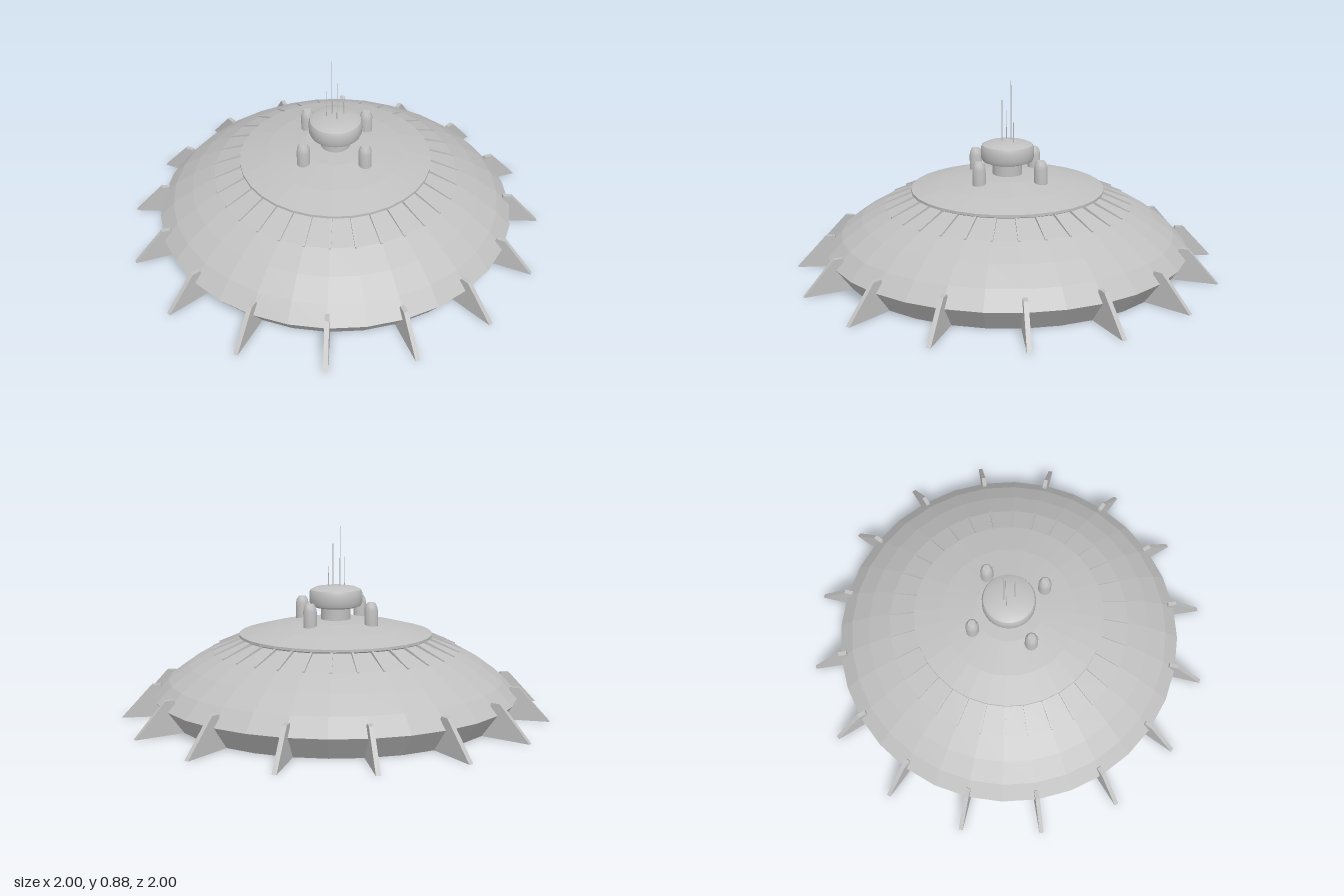
import * as THREE from 'three';
import { toCreasedNormals } from 'three/addons/utils/BufferGeometryUtils.js';

const SIDES = 32;

export function createModel() {
  const root = new THREE.Group();
  const grey = new THREE.MeshStandardMaterial({ color: 0xc0c0c0 });
  grey.name = 'hull grey';

  function add(name, geometry, parent = root) {
    const mesh = new THREE.Mesh(geometry, grey);
    mesh.name = name;
    parent.add(mesh);
    return mesh;
  }

  // Turned part from [radius, height] points, listed bottom to top
  function lathe(points, sides, crease) {
    const g = new THREE.LatheGeometry(points.map(([r, y]) => new THREE.Vector2(r, y)), sides);
    return toCreasedNormals(g, crease);
  }

  // Upright plate: outline in [radius, height], extruded around its middle plane
  function plate(points, thickness) {
    const shape = new THREE.Shape(points.map(([r, y]) => new THREE.Vector2(r, y)));
    const g = new THREE.ExtrudeGeometry(shape, { depth: thickness, bevelEnabled: false });
    return g.translate(0, 0, -thickness / 2);
  }

  // Repeat one geometry around the vertical axis
  function ring(name, geometry, count) {
    const group = new THREE.Group();
    group.name = name + 's';
    for (let i = 0; i < count; i++) {
      add(name, geometry, group).rotation.y = (i / count) * Math.PI * 2;
    }
    root.add(group);
  }

  // Faceted hull: flat floor, undercut wall and shallow dome
  add('underside', lathe([[0, 0], [0.78, 0], [0.853, 0.1]], SIDES, 0.01));
  add('dome', lathe([
    [0.853, 0.1], [0.785, 0.172], [0.69, 0.24], [0.58, 0.302], [0.44, 0.355],
  ], SIDES, 0.01));

  // Raised cap in the middle of the dome
  add('cap', lathe([
    [0.43, 0.35], [0.455, 0.362], [0.455, 0.374], [0.32, 0.408], [0.16, 0.433], [0, 0.44],
  ], SIDES, 0.01));

  // Small wedges radiating from under the cap
  ring('louver', plate([[0.44, 0.33], [0.585, 0.297], [0.585, 0.306], [0.44, 0.368]], 0.01), 32);

  // Landing fins around the rim
  ring('fin', plate([[0.78, 0], [1, 0], [0.86, 0.152], [0.82, 0.152]], 0.02), 16);

  // Turret: neck and rounded head
  add('turretNeck', new THREE.CylinderGeometry(0.07, 0.07, 0.09, 24).translate(0, 0.465, 0));
  add('turretHead', lathe([
    [0, 0.495], [0.1, 0.495], [0.118, 0.502], [0.125, 0.518], [0.125, 0.562],
    [0.119, 0.577], [0.095, 0.588], [0.05, 0.595], [0, 0.597],
  ], 32, 0.7));

  // Four pods around the turret
  ring('pod', lathe([
    [0.031, 0.42], [0.031, 0.495], [0.027, 0.515], [0.018, 0.53], [0, 0.532],
  ], 12, 0.8).translate(0.2, 0, 0), 4);

  // Antennas: x, z, tip height
  const antennas = new THREE.Group();
  antennas.name = 'antennas';
  root.add(antennas);
  for (const [x, z, top] of [
    [0, -0.025, 0.875], [-0.012, 0.025, 0.79], [-0.03, -0.03, 0.73], [0.045, 0.01, 0.69],
  ]) {
    const h = top - 0.58;
    add('antenna', new THREE.CylinderGeometry(0.0015, 0.0025, h, 6).translate(x, 0.58 + h / 2, z), antennas);
  }

  return root;
}
